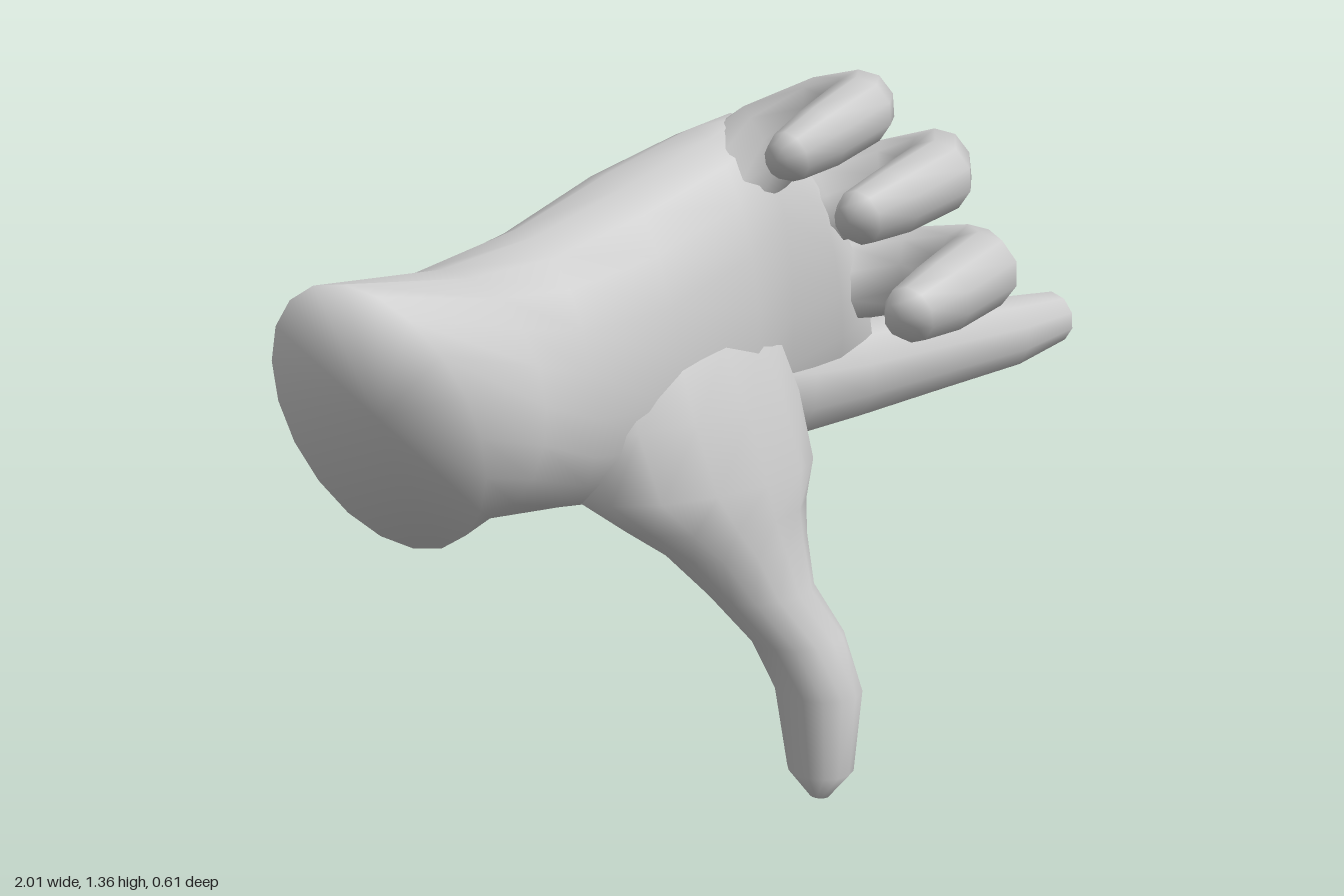
import * as THREE from 'three';

const V = (a) => new THREE.Vector3(...a);
const material = new THREE.MeshStandardMaterial({ color: 0xcccccc });

// Skin closed elliptical sections {c, u, v}; u x v points along the limb.
function loft(name, sections, sides) {
  const pos = [], index = [];
  const rings = sections.map(({ c, u, v }) => {
    const start = pos.length / 3;
    for (let i = 0; i < sides; i++) {
      const a = (i / sides) * Math.PI * 2;
      const p = c.clone().addScaledVector(u, Math.cos(a)).addScaledVector(v, Math.sin(a));
      pos.push(p.x, p.y, p.z);
    }
    return start;
  });
  const cap = (start, { c }, flip) => {
    const m = pos.length / 3;
    pos.push(c.x, c.y, c.z);
    for (let i = 0; i < sides; i++) {
      const a = start + i, b = start + (i + 1) % sides;
      index.push(m, flip ? b : a, flip ? a : b);
    }
  };
  for (let k = 0; k < rings.length - 1; k++) {
    for (let i = 0; i < sides; i++) {
      const j = (i + 1) % sides, a = rings[k], b = rings[k + 1];
      index.push(a + i, a + j, b + j, a + i, b + j, b + i);
    }
  }
  const last = sections.length - 1;
  cap(rings[0], sections[0], true);
  cap(rings[last], sections[last], false);
  const g = new THREE.BufferGeometry();
  g.setAttribute('position', new THREE.Float32BufferAttribute(pos, 3));
  g.setIndex(index);
  g.computeVertexNormals();
  const mesh = new THREE.Mesh(g, material);
  mesh.name = name;
  return mesh;
}

// A finger follows points [x, y, z, radius], with a blunt faceted tip.
function finger(name, path) {
  const pts = path.map((p) => V(p.slice(0, 3)));
  const sections = pts.map((c, k) => {
    const t = pts[Math.min(k + 1, pts.length - 1)].clone().sub(pts[Math.max(k - 1, 0)]).normalize();
    const u = new THREE.Vector3(0, 1, 0);
    u.addScaledVector(t, -u.dot(t)).normalize();
    const v = t.clone().cross(u);
    const r = path[k][3];
    return { c, u: u.multiplyScalar(r), v: v.multiplyScalar(r) };
  });
  return loft(name, sections, 10);
}

export function createModel() {
  const hand = new THREE.Group();
  hand.name = 'hand';

  // Forearm stump, wrist and palm, fuller towards the thumb: centre, half height, half thickness
  const palm = [
    [[-0.875, 0.885, 0.08], [-0.1, 0.24, -0.03], [0.07, 0.06, 0.155]],
    [[-0.62, 0.85, -0.07], [0, 0.225, -0.02], [0.06, 0.01, 0.195]],
    [[-0.4, 0.855, -0.11], [0, 0.245, 0], [0, -0.06, 0.17]],
    [[-0.2, 0.88, -0.115], [0, 0.285, 0.01], [0, -0.1, 0.17]],
    [[0, 0.915, -0.13], [0, 0.315, 0.025], [0, -0.09, 0.165]],
    [[0.14, 0.93, -0.165], [-0.03, 0.325, 0.03], [0, -0.05, 0.14]],
    [[0.25, 0.92, -0.155], [-0.07, 0.29, 0.035], [0.02, -0.02, 0.118]],
    [[0.35, 0.9, -0.135], [-0.09, 0.2, 0.03], [0.01, 0, 0.065]],
  ].map(([c, u, v]) => ({ c: V(c), u: V(u), v: V(v) }));
  hand.add(loft('palm', palm, 20));

  // Thumb with its fleshy base and web: x, y, z, half width, half depth
  const thumb = [
    [-0.14, 1.0, -0.1, 0.15, 0.06],
    [-0.14, 0.88, -0.07, 0.25, 0.11],
    [-0.135, 0.75, -0.045, 0.28, 0.14],
    [-0.115, 0.62, -0.02, 0.27, 0.15],
    [-0.09, 0.55, 0.005, 0.205, 0.135],
    [-0.06, 0.49, 0.035, 0.155, 0.112],
    [-0.03, 0.4, 0.08, 0.11, 0.083],
    [0.035, 0.3, 0.11, 0.095, 0.08],
    [0.06, 0.2, 0.14, 0.08, 0.09],
    [0.04, 0.05, 0.17, 0.06, 0.068],
    [0.03, 0, 0.18, 0.018, 0.02],
  ].map(([x, y, z, w, d]) => ({ c: V([x, y, z]), u: V([w, 0, 0]), v: V([0, 0, d]) }));
  hand.add(loft('thumb', thumb, 14));

  // Pointing finger
  hand.add(finger('indexFinger', [
    [-0.1, 0.78, -0.15, 0.07], [0.06, 0.735, -0.155, 0.12], [0.22, 0.715, -0.16, 0.115],
    [0.38, 0.71, -0.155, 0.1], [0.6, 0.715, -0.15, 0.088], [0.82, 0.72, -0.14, 0.075],
    [0.96, 0.73, -0.14, 0.055], [1, 0.735, -0.16, 0.02],
  ]));

  // Curled fingers, rooted inside the knuckles
  hand.add(finger('middleFinger', [
    [0.04, 0.89, -0.16, 0.05], [0.2, 0.9, -0.165, 0.105], [0.35, 0.91, -0.13, 0.092],
    [0.45, 0.93, -0.02, 0.083], [0.475, 0.955, 0.11, 0.08], [0.42, 0.965, 0.185, 0.078],
    [0.27, 0.945, 0.235, 0.07], [0.18, 0.93, 0.25, 0.055], [0.15, 0.925, 0.26, 0.035],
  ]));
  hand.add(finger('ringFinger', [
    [0, 0.99, -0.15, 0.05], [0.15, 1.035, -0.16, 0.105], [0.29, 1.07, -0.12, 0.092],
    [0.39, 1.115, -0.02, 0.08], [0.41, 1.15, 0.08, 0.075], [0.35, 1.15, 0.14, 0.072],
    [0.22, 1.12, 0.155, 0.065], [0.13, 1.105, 0.165, 0.053], [0.1, 1.1, 0.17, 0.033],
  ]));
  hand.add(finger('littleFinger', [
    [-0.1, 1.06, -0.12, 0.05], [0.04, 1.125, -0.135, 0.1], [0.15, 1.2, -0.11, 0.088],
    [0.205, 1.265, -0.01, 0.073], [0.21, 1.29, 0.08, 0.069], [0.15, 1.297, 0.14, 0.066],
    [0.04, 1.262, 0.155, 0.06], [-0.04, 1.24, 0.165, 0.048], [-0.07, 1.235, 0.165, 0.032],
  ]));
  return hand;
}
